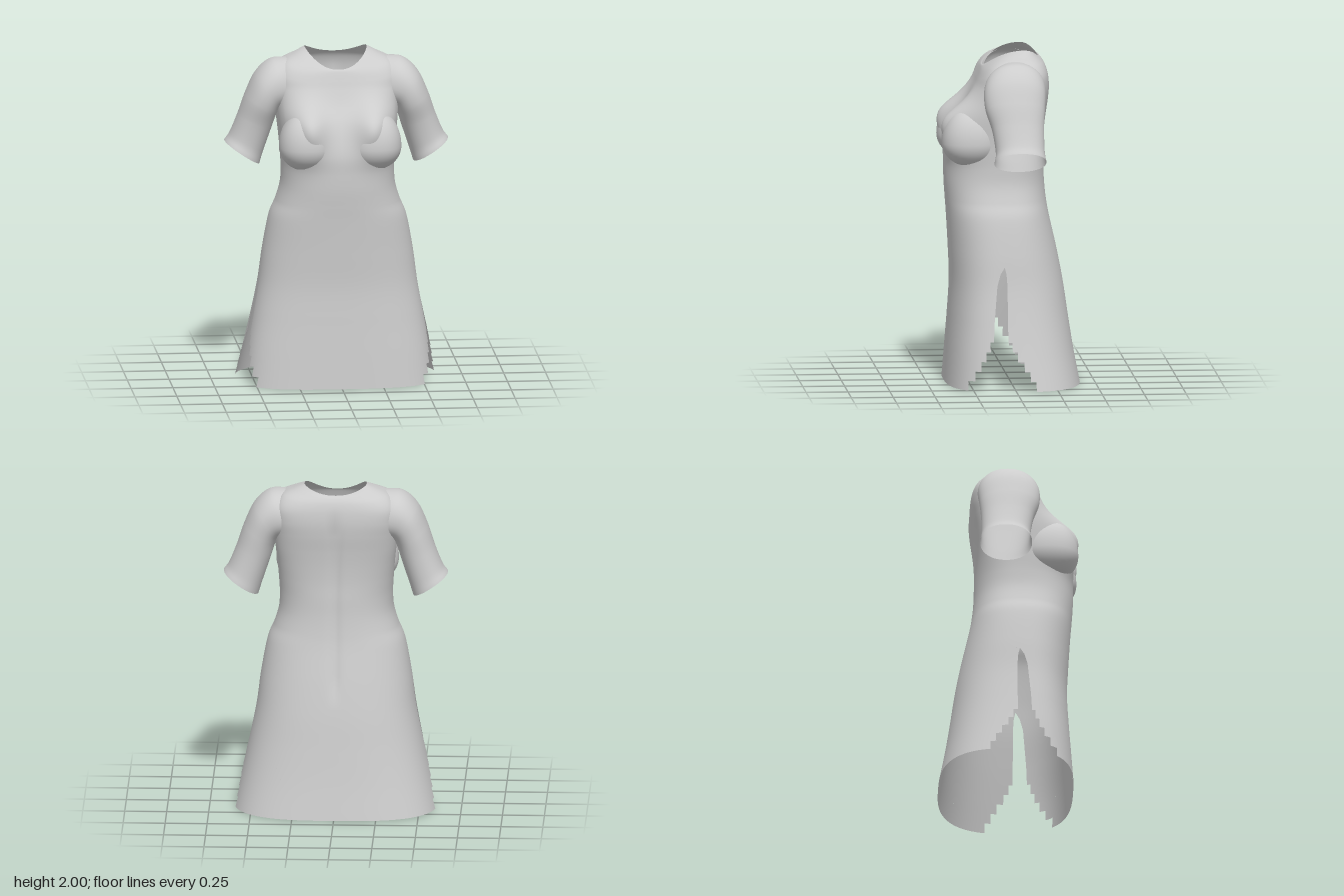
import * as THREE from 'three';

const V = (x, y, z) => new THREE.Vector3(x, y, z);
const spow = (v, p) => Math.sign(v) * Math.abs(v) ** p;

// Smooth interpolation through the rows of a section table
function sample(rows, k) {
  const i = Math.min(rows.length - 2, Math.max(0, Math.floor(k))), f = k - i;
  const b = rows[i], c = rows[i + 1];
  return b.map((_, j) => {
    const a = i > 0 ? rows[i - 1][j] : 2 * b[j] - c[j];
    const d = i + 2 < rows.length ? rows[i + 2][j] : 2 * c[j] - b[j];
    return b[j] + 0.5 * f * (c[j] - a + f * (2 * a - 5 * b[j] + 4 * c[j] - d + f * (3 * (b[j] - c[j]) + d - a)));
  });
}

// Surface patch P(t, k); span(k) gives the range of t on each row
function patch(P, span, k0, k1, nt, nk) {
  const pos = [], nor = [], idx = [], e = 0.004;
  for (let j = 0; j <= nk; j++) {
    const k = k0 + (k1 - k0) * j / nk, [t0, t1] = span(k);
    for (let i = 0; i <= nt; i++) {
      const t = t0 + (t1 - t0) * i / nt;
      const pk = P(t, Math.min(k + e, k1)).sub(P(t, Math.max(k - e, k0)));
      const n = pk.cross(P(t + e, k).sub(P(t - e, k))).normalize();
      pos.push(...P(t, k).toArray());
      nor.push(...n.toArray());
      if (i < nt && j < nk) {
        const a = j * (nt + 1) + i, b = a + nt + 1;
        idx.push(a, b, a + 1, b, b + 1, a + 1);
      }
    }
  }
  const g = new THREE.BufferGeometry();
  g.setAttribute('position', new THREE.Float32BufferAttribute(pos, 3));
  g.setAttribute('normal', new THREE.Float32BufferAttribute(nor, 3));
  g.setIndex(idx);
  return g;
}

// Body sections: yFront, ySide, yBack, half width front, half width back, zFront, zBack, zCentre, squareness
const level = (y, wf, wb, zf, zb, zc, n) => [y, y, y, wf, wb, zf, zb, zc, n];
const BODY = [
  level(0.0, 0.572, 0.608, 0.39, -0.415, 0.06, 2.9),
  level(0.2, 0.546, 0.56, 0.376, -0.378, 0.06, 2.75),
  level(0.4, 0.512, 0.515, 0.362, -0.347, 0.06, 2.6),
  level(0.6, 0.475, 0.475, 0.352, -0.318, 0.06, 2.5),
  level(0.8, 0.448, 0.448, 0.36, -0.28, 0.06, 2.4),
  level(1.0, 0.41, 0.41, 0.372, -0.235, 0.06, 2.4),
  level(1.1, 0.37, 0.37, 0.38, -0.218, 0.06, 2.4),
  level(1.2, 0.342, 0.342, 0.387, -0.208, 0.06, 2.4),
  level(1.3, 0.337, 0.337, 0.388, -0.204, 0.05, 2.4),
  level(1.4, 0.342, 0.342, 0.385, -0.2, 0.04, 2.6),
  level(1.5, 0.35, 0.35, 0.358, -0.203, 0.02, 2.8),
  level(1.6, 0.36, 0.36, 0.315, -0.212, 0, 3),
  level(1.7, 0.365, 0.365, 0.252, -0.225, -0.01, 3.3),
  level(1.78, 0.365, 0.365, 0.212, -0.23, -0.02, 3.7),
  [1.83, 1.86, 1.85, 0.36, 0.36, 0.192, -0.224, -0.03, 3.8],
  [1.865, 1.925, 1.9, 0.325, 0.325, 0.178, -0.21, -0.03, 3.3],
  [1.888, 1.965, 1.93, 0.25, 0.25, 0.167, -0.192, -0.05, 2.6],
  [1.895, 1.995, 1.945, 0.185, 0.185, 0.158, -0.172, -0.08, 2.2],
];

function bodyPoint(t, k) {
  const [yf, ys, yb, wf, wb, zf, zb, zc, n] = sample(BODY, k);
  const c = Math.cos(t), s = Math.sin(t), front = s >= 0;
  const x = (front ? wf : wb) * spow(c, 2 / n);
  let z = zc + (front ? zf - zc : zc - zb) * spow(s, 2 / n);
  const y = ys + ((front ? yf : yb) - ys) * s * s;
  if (front) {
    // chest swells above the bust, fading out at the side seam
    z += 0.1 * Math.min(1, 2 * s) * Math.exp(-(((Math.abs(x) - 0.2) / 0.11) ** 2) - ((y - 1.58) / (y < 1.58 ? 0.15 : 0.13)) ** 2);
  } else {
    // shallow spine groove
    const w = THREE.MathUtils.smoothstep(y, 0.65, 0.85) * (1 - THREE.MathUtils.smoothstep(y, 1.7, 1.9));
    z += 0.013 * w * Math.exp(-((x / 0.035) ** 2));
  }
  return V(x, y, z);
}

// Angle on the body section where its edge reaches depth z
function edgeAngle(k, z, front) {
  const r = sample(BODY, k), zc = r[7];
  const q = Math.max(0, front ? (z - zc) / (r[5] - zc) : (zc - z) / (zc - r[6]));
  return Math.asin(Math.min(1, q ** (r[8] / 2)));
}

// Sleeve rings, cuff first: outer x, y, inner x, y, zFront, zBack
const SLEEVE = [
  [0.668, 1.442, 0.46, 1.305, 0.13, -0.18],
  [0.635, 1.49, 0.437, 1.38, 0.12, -0.172],
  [0.59, 1.6, 0.39, 1.52, 0.138, -0.172],
  [0.545, 1.73, 0.36, 1.61, 0.172, -0.18],
  [0.485, 1.855, 0.33, 1.65, 0.18, -0.188],
  [0.4, 1.932, 0.27, 1.66, 0.168, -0.187],
  [0.3, 1.944, 0.22, 1.66, 0.135, -0.165],
];
function sleevePoint(t, k) {
  const [ox, oy, ix, iy, zf, zb] = sample(SLEEVE, k);
  const c = spow(Math.cos(t), 0.92), s = spow(Math.sin(t), 0.92);
  return V((ox + ix) / 2 + (ox - ix) / 2 * c, (oy + iy) / 2 + (oy - iy) / 2 * c, (zf + zb) / 2 + (zf - zb) / 2 * s);
}

// Bust: rounded below, sinking into the chest above
function bustPoint(t, k) {
  const r = Math.cos(k), h = Math.sin(k);
  return V(0.2 + 0.165 * r * spow(Math.cos(t), 0.88), 1.45 + (h > 0 ? 0.22 : 0.145) * h, 0.24 + 0.175 * r * spow(Math.sin(t), 0.88));
}

export function createModel() {
  const model = new THREE.Group();
  model.name = 'dress';
  const cloth = new THREE.MeshStandardMaterial({ name: 'grey cloth', color: 0xcccccc, side: THREE.DoubleSide });
  const add = (parent, name, geometry) => {
    const m = new THREE.Mesh(geometry, cloth);
    m.name = name;
    parent.add(m);
  };
  const TAU = Math.PI * 2, SLIT = 0.73;
  const kOf = y => y / 0.2;

  // Bodice and upper skirt, open at the neck
  add(model, 'bodiceFront', patch(bodyPoint, () => [0, Math.PI], kOf(SLIT), BODY.length - 1, 96, 96));
  add(model, 'bodiceBack', patch(bodyPoint, () => [Math.PI, TAU], kOf(SLIT), BODY.length - 1, 96, 96));

  // Skirt panels: smooth slit above, stepped edge below
  const slitY = [SLIT, 0.69, 0.62, 0.4, 0.29];
  const panels = [
    { name: 'skirtFront', front: true, z: [0.06, 0.085, 0.105, 0.125, 0.13], steps: [0.15, 0.175, 0.205, 0.24, 0.28] },
    { name: 'skirtBack', front: false, z: [0.06, 0.05, 0.045, 0.045, 0.045], steps: [0.02, -0.01, -0.05, -0.085, -0.12] },
  ];
  for (const { name, front, z, steps } of panels) {
    const panel = new THREE.Group();
    panel.name = name;
    model.add(panel);
    const strip = (yTop, yBot, zTop, zBot) => {
      const span = k => {
        const f = (k * 0.2 - yBot) / (yTop - yBot);
        const a = edgeAngle(k, zBot + (zTop - zBot) * f, front);
        return front ? [a, Math.PI - a] : [Math.PI + a, TAU - a];
      };
      add(panel, name + 'Strip', patch(bodyPoint, span, kOf(yBot), kOf(yTop), 120, 4));
    };
    for (let i = 0; i < 4; i++) strip(slitY[i], slitY[i + 1], z[i], z[i + 1]);
    steps.forEach((s, i) => strip(0.29 - i * 0.058, Math.max(0, 0.29 - (i + 1) * 0.058), s, s));
  }

  // Sleeves and bust, mirrored; the bust is left open behind, inside the bodice
  for (const [side, sign] of [['left', 1], ['right', -1]]) {
    const wrap = P => (t, k) => { const p = P(sign * t, k); p.x *= sign; return p; };
    const bustSpan = sign > 0 ? [-0.9, Math.PI - 0.5] : [0.5 - Math.PI, 0.9];
    add(model, side + 'Sleeve', patch(wrap(sleevePoint), () => [0, TAU], 0, SLEEVE.length - 1, 48, 36));
    add(model, side + 'Bust', patch(wrap(bustPoint), () => bustSpan, -1.56, 1.56, 48, 32));
  }
  return model;
}
